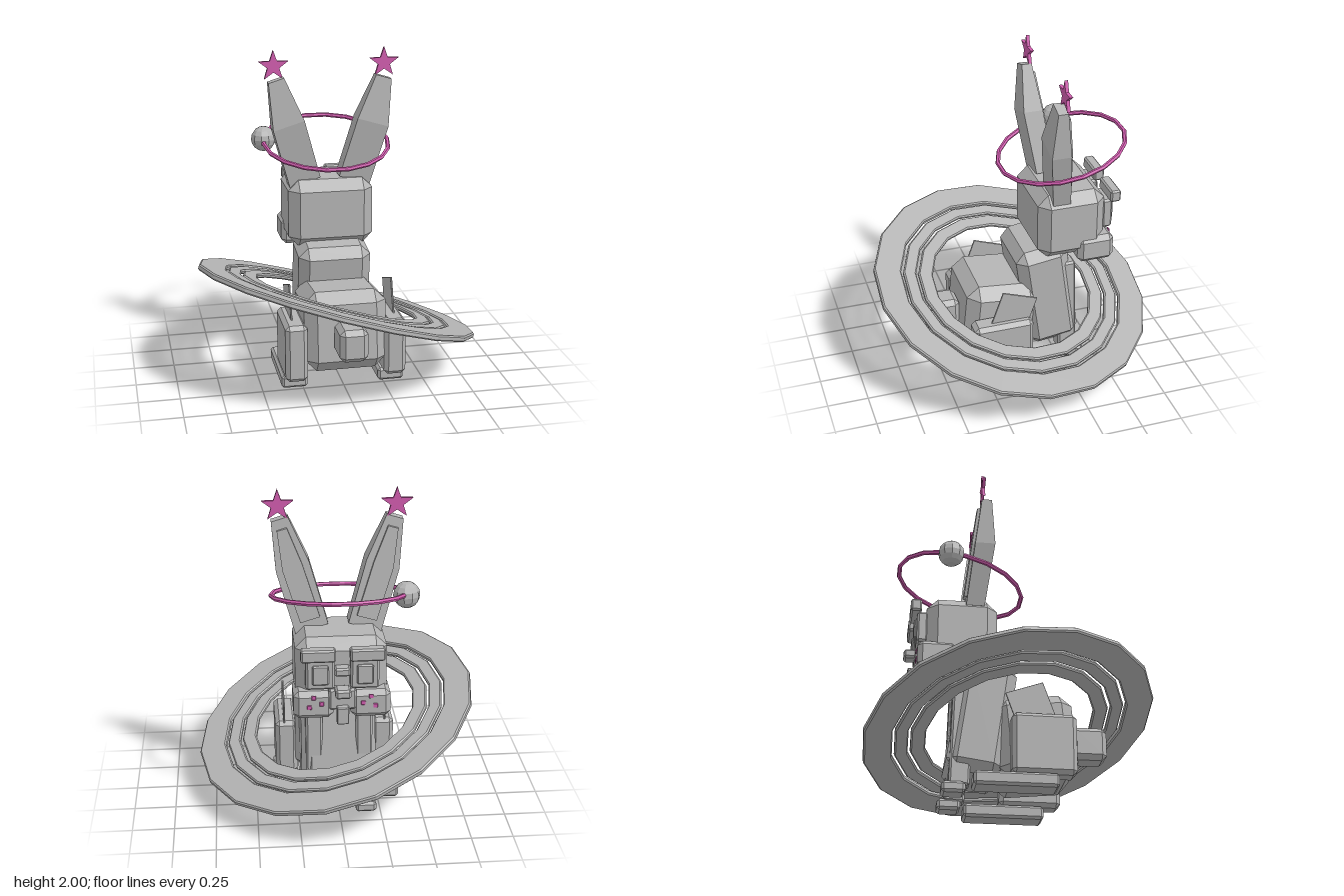
import * as THREE from 'three';
import { ConvexGeometry } from 'three/addons/geometries/ConvexGeometry.js';

const grey = new THREE.MeshStandardMaterial({ color: 0xb4b4b4 });
grey.name = 'stone grey';
const pink = new THREE.MeshStandardMaterial({ color: 0xd05cae });
pink.name = 'pink';

// Faceted copy of a geometry
function facet(geo) {
  const g = geo.index ? geo.toNonIndexed() : geo;
  g.computeVertexNormals();
  return g;
}

// Box with cut edges and corners
function chamferBox(w, h, d, c) {
  const pts = [];
  for (const x of [-1, 1]) for (const y of [-1, 1]) for (const z of [-1, 1]) {
    const X = w / 2, Y = h / 2, Z = d / 2;
    pts.push(new THREE.Vector3(x * X, y * (Y - c), z * (Z - c)));
    pts.push(new THREE.Vector3(x * (X - c), y * Y, z * (Z - c)));
    pts.push(new THREE.Vector3(x * (X - c), y * (Y - c), z * Z));
  }
  return new ConvexGeometry(pts);
}

// Hull through tilted rectangular sections [x, y, z, halfWidth, halfDepth]
function earHull(sections, side) {
  const pts = [];
  for (const [x, y, z, hw, hd] of sections) {
    for (const u of [-1, 1]) for (const v of [-1, 1]) {
      pts.push(new THREE.Vector3(side * (x + u * hw * 0.955), y - u * hw * 0.29, z + v * hd));
    }
  }
  return new ConvexGeometry(pts);
}

function starGeometry(outer, inner, depth) {
  const shape = new THREE.Shape();
  for (let i = 0; i < 10; i++) {
    const r = i % 2 ? inner : outer, a = Math.PI / 2 + (i * Math.PI) / 5;
    shape[i ? 'lineTo' : 'moveTo'](r * Math.cos(a), r * Math.sin(a));
  }
  shape.closePath();
  return new THREE.ExtrudeGeometry(shape, { depth, bevelEnabled: false }).translate(0, 0, -depth / 2);
}

export function createModel() {
  const model = new THREE.Group();
  model.name = 'ringedRabbit';

  function add(name, geo, material, x = 0, y = 0, z = 0, tilt = 0) {
    const mesh = new THREE.Mesh(geo, material);
    mesh.name = name;
    mesh.position.set(x, y, z);
    mesh.rotation.x = tilt;
    model.add(mesh);
    return mesh;
  }
  // Box given by its extents
  function block(name, x0, x1, y0, y1, z0, z1, c = 0.012, tilt = 0, material = grey) {
    return add(name, chamferBox(x1 - x0, y1 - y0, z1 - z0, c), material,
      (x0 + x1) / 2, (y0 + y1) / 2, (z0 + z1) / 2, tilt);
  }
  // Mirrored pair of such boxes
  function pair(name, x0, x1, ...rest) {
    block(name + 'Left', x0, x1, ...rest);
    block(name + 'Right', -x1, -x0, ...rest);
  }

  // Body
  block('rump', -0.25, 0.25, 0.12, 0.61, -0.1, 0.36, 0.07, -0.1);
  block('torso', -0.225, 0.225, 0.13, 0.82, -0.345, -0.015, 0.06, 0.14);
  block('tail', -0.085, 0.085, 0.28, 0.48, 0.36, 0.57, 0.03);

  // Legs and feet
  pair('thigh', 0.235, 0.37, 0.08, 0.44, -0.03, 0.34, 0.025);
  pair('hindFoot', 0.22, 0.38, 0, 0.08, -0.245, 0.235, 0.015);
  pair('foreleg', 0.1, 0.2, 0.05, 0.7, -0.36, -0.24, 0.012, 0.03);
  pair('forefoot', 0.1, 0.225, 0, 0.065, -0.41, -0.275, 0.015);
  pair('haunchPlate', 0.31, 0.32, 0.345, 0.615, -0.025, 0.205, 0.002, -0.34);

  // Head and face
  block('head', -0.265, 0.265, 0.775, 1.2, -0.52, -0.1, 0.065);
  pair('cheek', 0.05, 0.28, 0.73, 0.9, -0.57, -0.34, 0.03);
  block('snout', -0.08, 0.08, 0.79, 0.92, -0.575, -0.48, 0.012);
  block('nose', -0.045, 0.045, 0.885, 0.94, -0.64, -0.55, 0.012);
  block('teeth', -0.035, 0.035, 0.715, 0.82, -0.615, -0.565, 0.006);
  pair('eyeFrame', 0.045, 0.21, 0.92, 1.11, -0.575, -0.51, 0.012);
  pair('eye', 0.08, 0.175, 0.955, 1.075, -0.592, -0.57, 0.008);
  pair('brow', 0.04, 0.24, 1.105, 1.18, -0.615, -0.55, 0.01);
  block('bridge', -0.045, 0.045, 1.0, 1.05, -0.58, -0.51, 0.01);
  for (const [x, y] of [[0.12, 0.83], [0.165, 0.87], [0.19, 0.81]]) {
    pair('freckle', x - 0.013, x + 0.013, y - 0.013, y + 0.013, -0.575, -0.567, 0.002, 0, pink);
  }

  // Ears with inner panels and star tips
  const ear = [[0.155, 1.18, -0.235, 0.1, 0.055], [0.26, 1.55, -0.19, 0.1, 0.06], [0.33, 1.825, -0.185, 0.05, 0.03]];
  const inner = [[0.165, 1.24, -0.28, 0.06, 0.022], [0.262, 1.55, -0.245, 0.06, 0.022], [0.318, 1.77, -0.222, 0.03, 0.018]];
  const star = starGeometry(0.095, 0.038, 0.02);
  for (const side of [1, -1]) {
    const label = side > 0 ? 'Left' : 'Right';
    add('ear' + label, earHull(ear, side), grey);
    add('innerEar' + label, earHull(inner, side), grey);
    add('star' + label, star, pink, side * 0.34, 1.905, -0.208);
  }

  // Tilted planetary ring in three bands
  const ring = new THREE.Group();
  ring.name = 'planetRing';
  ring.position.y = 0.475;
  ring.quaternion.setFromUnitVectors(new THREE.Vector3(0, 1, 0), new THREE.Vector3(0.31, 1, -0.19).normalize());
  for (const [r0, r1, h] of [[0.51, 0.6, 0.014], [0.615, 0.695, 0.014], [0.71, 0.88, 0.018]]) {
    const b = 0.008;
    const profile = [[r0, -h + b], [r0 + b, -h], [r1 - b, -h], [r1, -h + b], [r1, h - b],
      [r1 - b, h], [r0 + b, h], [r0, h - b], [r0, -h + b]].map(p => new THREE.Vector2(...p));
    const band = new THREE.Mesh(facet(new THREE.LatheGeometry(profile, 18, Math.PI / 2)), grey);
    band.name = 'ringBand';
    ring.add(band);
  }
  model.add(ring);

  // Halo orbit and its moon
  const halo = facet(new THREE.TorusGeometry(0.39, 0.014, 6, 18).rotateX(Math.PI / 2));
  add('haloOrbit', halo, pink, 0, 1.403, -0.31, 0.22);
  add('moon', facet(new THREE.SphereGeometry(0.078, 10, 8)), grey, -0.38, 1.418, -0.395);

  return model;
}
